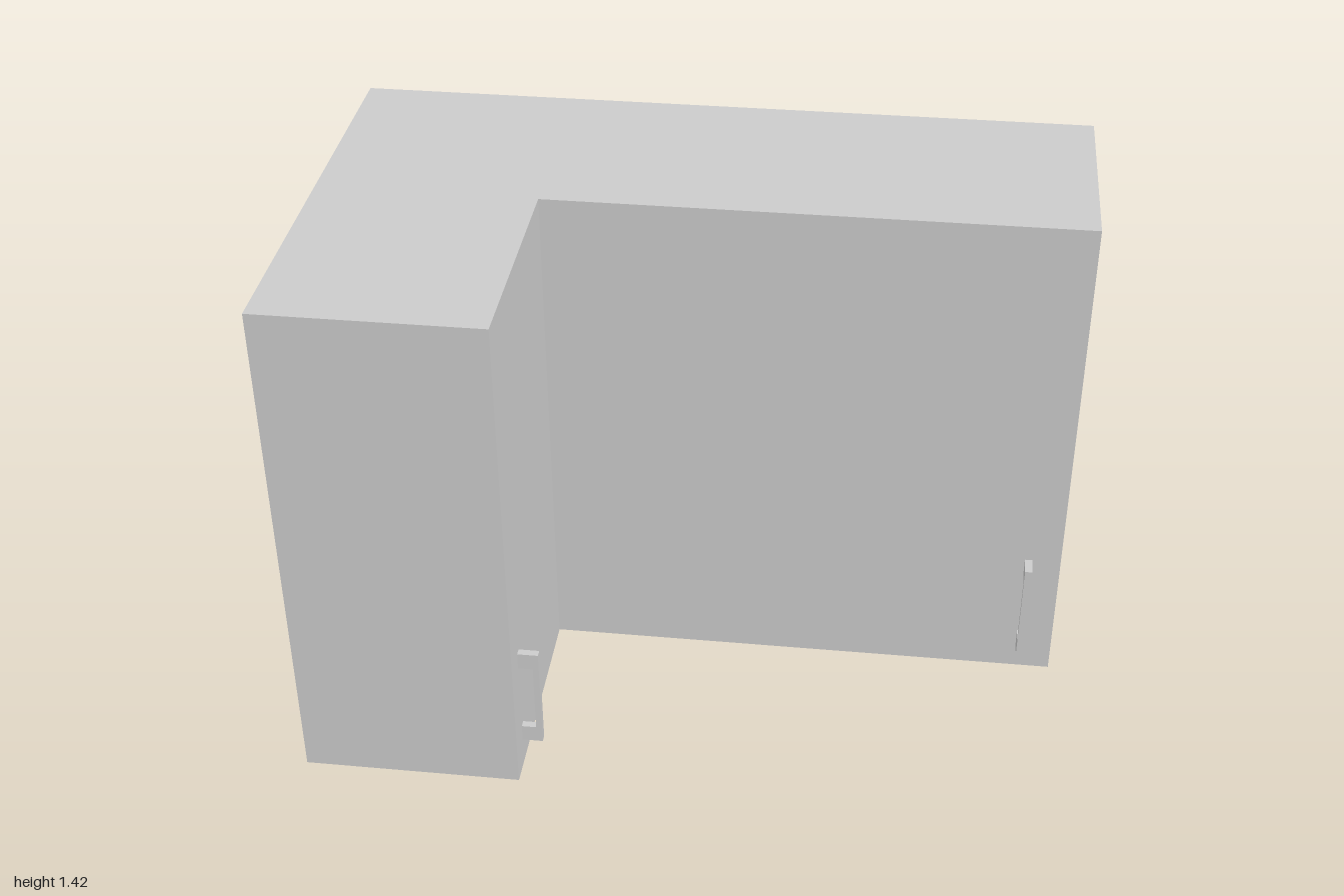
import * as THREE from 'three';

const H = 1.421, HALF_Z = 0.609, NOTCH_X = -0.417, NOTCH_Z = -0.023;
const BOARD = 0.035;   // board thickness seen around the recesses
const RECESS = 0.02;   // how far the back panels sit in

const material = new THREE.MeshStandardMaterial({ color: 0xcccccc, flatShading: true });

function polygon(points) {
  return new THREE.Shape(points.map(([x, y]) => new THREE.Vector2(x, y)));
}

function extrude(name, shape, depth) {
  const geometry = new THREE.ExtrudeGeometry(shape, { depth, bevelEnabled: false });
  const mesh = new THREE.Mesh(geometry, material);
  mesh.name = name;
  return mesh;
}

// Flat rectangular frame with an opening, in the XY plane
function frame(name, x0, x1, holeX0, holeX1) {
  const shape = polygon([[x0, 0], [x1, 0], [x1, H], [x0, H]]);
  shape.holes.push(polygon([
    [holeX0, BOARD], [holeX0, H - BOARD], [holeX1, H - BOARD], [holeX1, BOARD],
  ]));
  return extrude(name, shape, RECESS);
}

// C-shaped pull handle: the profile stands out along +x, the thickness runs along z
function handle(name) {
  const out = 0.055, grip = 0.016, y0 = 0.08, y1 = 0.38, leg = 0.048, width = 0.02;
  const shape = polygon([
    [0, y0], [out, y0], [out, y1], [0, y1], [0, y1 - leg],
    [out - grip, y1 - leg], [out - grip, y0 + leg], [0, y0 + leg],
  ]);
  const mesh = extrude(name, shape, width);
  mesh.geometry.translate(0, 0, -width / 2);
  return mesh;
}

export function createModel() {
  const model = new THREE.Group();
  model.name = 'cornerCabinet';

  // L-shaped body, stopping short of the outer back and side faces
  const left = -1 + RECESS, back = HALF_Z - RECESS;
  const body = extrude('body', polygon([
    [left, -HALF_Z], [NOTCH_X, -HALF_Z], [NOTCH_X, -NOTCH_Z],
    [1, -NOTCH_Z], [1, back], [left, back],
  ]), H);
  body.rotation.x = -Math.PI / 2;
  model.add(body);

  // Back face: recess over the long wing, solid board behind the corner
  const backFrame = frame('backFrame', -1, 1, NOTCH_X + BOARD, 1 - BOARD);
  backFrame.position.z = -HALF_Z;
  model.add(backFrame);

  // Side face: recess over its whole width
  const sideFrame = frame('sideFrame', -HALF_Z, back, -HALF_Z + BOARD, HALF_Z - BOARD);
  sideFrame.rotation.y = Math.PI / 2;
  sideFrame.position.x = -1;
  model.add(sideFrame);

  // Handles at the free edges of the two doors
  const sideHandle = handle('sideDoorHandle');
  sideHandle.position.set(NOTCH_X, 0, 0.526);
  const frontHandle = handle('frontDoorHandle');
  frontHandle.rotation.y = -Math.PI / 2;
  frontHandle.position.set(0.912, 0, NOTCH_Z);
  model.add(sideHandle, frontHandle);

  return model;
}
